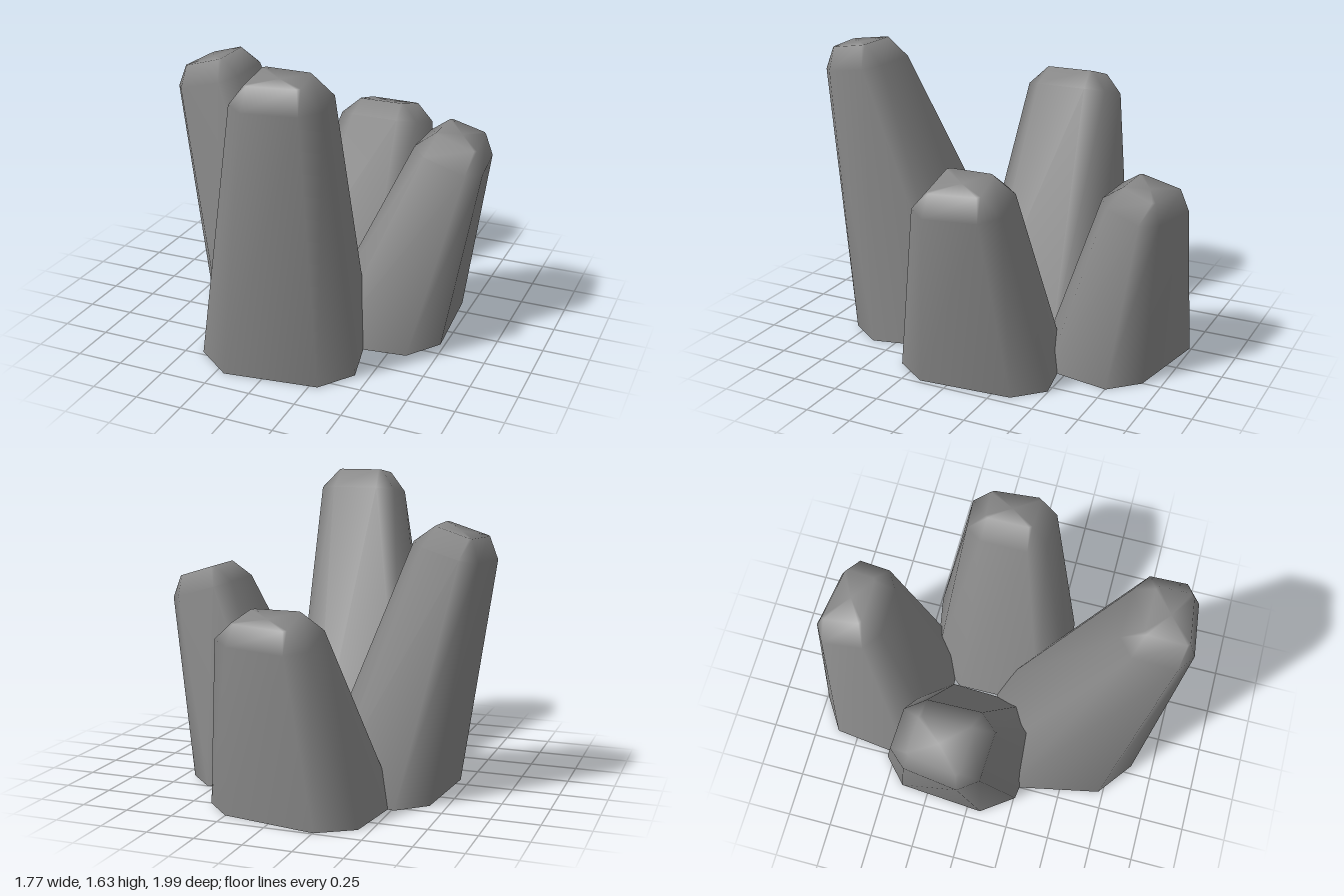
import * as THREE from 'three';

const material = new THREE.MeshStandardMaterial({ color: 0x888888, side: THREE.DoubleSide });

// Cut every corner of a flat four-sided outline [x, z], giving eight points
function cutCorners(corners, cut) {
  return corners.flatMap((corner, i) => [corners[(i + 3) % 4], corners[(i + 1) % 4]].map((next) => [
    THREE.MathUtils.lerp(corner[0], next[0], cut),
    THREE.MathUtils.lerp(corner[1], next[1], cut),
  ]));
}

// Lift a flat outline to a plane that tilts along the outward direction
function tiltedRing(points, out, [outerY, innerY]) {
  const along = points.map(([x, z]) => x * out[0] + z * out[1]);
  const min = Math.min(...along);
  const max = Math.max(...along);
  return points.map(([x, z], i) => [x, THREE.MathUtils.mapLinear(along[i], min, max, innerY, outerY), z]);
}

// Leaning column: corners run counter-clockwise seen from above, heights are [outer, inner]
function rockColumn(name, out, foot, shoulder, shoulderY, capY) {
  // The cap is the shoulder outline shrunk, moved slightly outward, with sharper corners
  const [cx, cz] = [0, 1].map((axis) => shoulder.reduce((sum, p) => sum + p[axis], 0) / 4);
  const middle = [cx + out[0] * 0.035, cz + out[1] * 0.035];
  const cap = shoulder.map(([x, z]) => [middle[0] + (x - cx) * 0.59, middle[1] + (z - cz) * 0.59]);
  const rings = [
    tiltedRing(cutCorners(foot, 0.2), out, [0, 0]),
    tiltedRing(cutCorners(shoulder, 0.2), out, shoulderY),
    tiltedRing(cutCorners(cap, 0.06), out, capY),
  ];
  const top = [middle[0], (capY[0] + capY[1]) / 2, middle[1]];

  // Walls and rounded shoulder, then the cap; the foot stays open
  const n = 8;
  const index = [];
  for (let i = 0; i < n; i++) {
    const j = (i + 1) % n;
    for (const r of [0, n]) index.push(r + i, r + j, r + j + n, r + i, r + j + n, r + i + n);
    index.push(2 * n + i, 2 * n + j, 3 * n);
  }

  const geometry = new THREE.BufferGeometry();
  geometry.setAttribute('position', new THREE.Float32BufferAttribute([...rings.flat(2), ...top], 3));
  geometry.setIndex(index);
  geometry.computeVertexNormals();
  const mesh = new THREE.Mesh(geometry, material);
  mesh.name = name;
  return mesh;
}

export function createModel() {
  const group = new THREE.Group();
  group.name = 'rockCluster';
  group.add(
    rockColumn('frontRockColumn', [0, 1],
      [[-0.37, 0.9], [0.46, 0.79], [0.28, -0.02], [-0.55, 0.02]],
      [[-0.1, 1.01], [0.36, 0.95], [0.33, 0.63], [-0.11, 0.62]],
      [1.48, 1.53], [1.6, 1.63]),
    rockColumn('leftRockColumn', [1, 0],
      [[0.74, 0.32], [0.68, -0.52], [0.02, -0.4], [0.03, 0.41]],
      [[0.89, 0.13], [0.84, -0.35], [0.51, -0.32], [0.51, 0.12]],
      [0.96, 1.07], [1.08, 1.15]),
    rockColumn('rightRockColumn', [-1, 0],
      [[-0.65, -0.57], [-0.71, 0.24], [0, 0.33], [0.03, -0.43]],
      [[-0.84, -0.35], [-0.9, 0.12], [-0.5, 0.15], [-0.51, -0.32]],
      [1.22, 1.33], [1.34, 1.41]),
    rockColumn('backRockColumn', [0, -1],
      [[0.42, -0.87], [-0.42, -1.02], [-0.51, -0.28], [0.31, -0.28]],
      [[0.32, -0.93], [-0.21, -1.01], [-0.2, -0.62], [0.26, -0.62]],
      [0.85, 0.95], [0.96, 1.02]),
  );
  return group;
}
